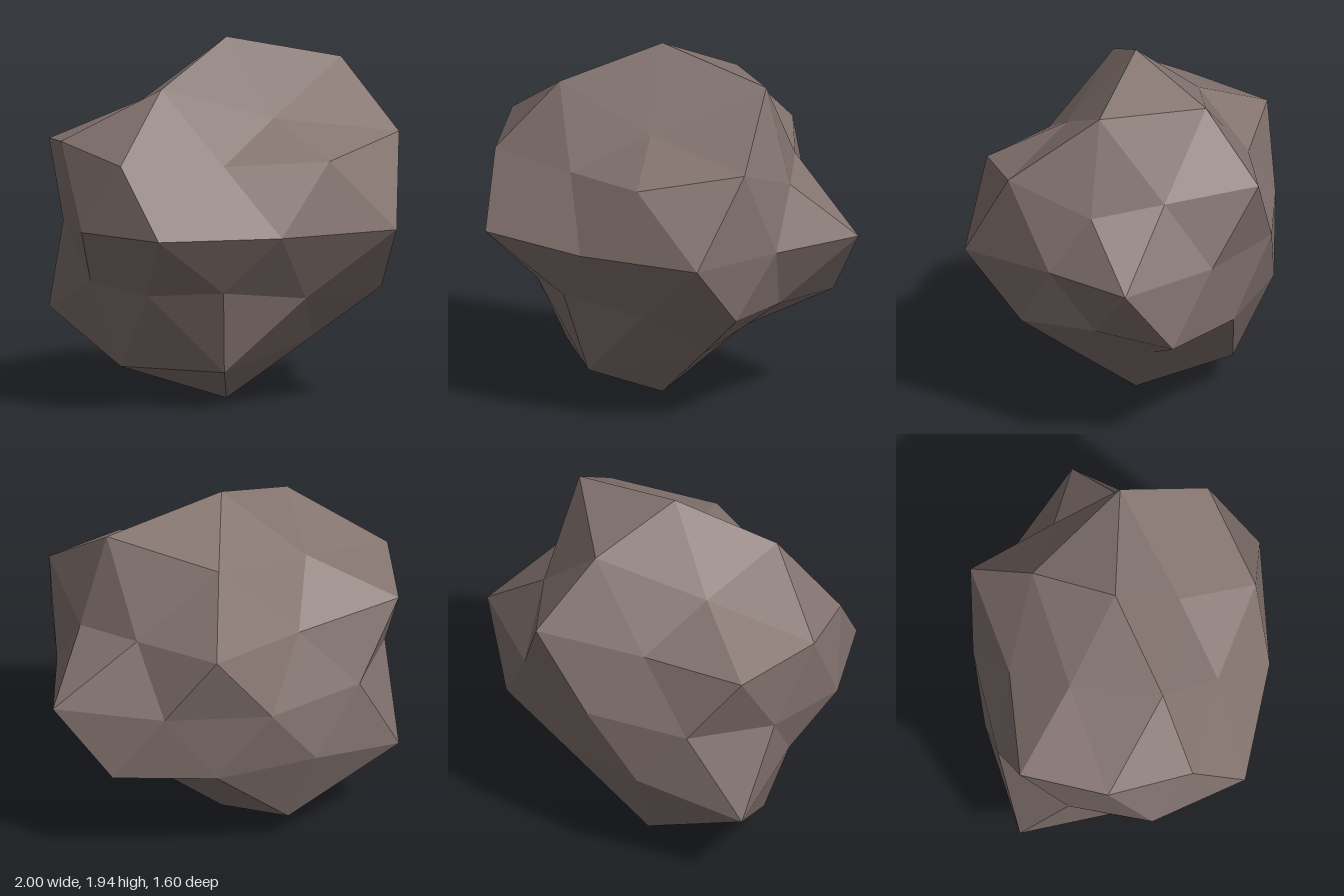
import * as THREE from 'three';
import { ConvexGeometry } from 'three/addons/geometries/ConvexGeometry.js';

// Rings of an icosphere standing on a vertex, top to bottom:
// sine of the latitude, first azimuth in degrees, and the radius of each point round the ring
const RINGS = [
  [1, 0, [0.97]],
  [0.8507, 0, [0.975, 0.67, 0.88, 0.73, 0.895]],
  [0.5257, 36, [0.92, 0.685, 0.872, 0.685, 0.70]],
  [0.4472, 0, [0.705, 0.863, 0.84, 0.90, 0.92]],
  [0, 18, [0.705, 0.915, 0.82, 0.885, 0.757, 0.70, 0.745, 0.755, 0.735, 0.877]],
  [-0.4472, 36, [0.785, 0.70, 0.68, 0.80, 0.857]],
  [-0.5257, 0, [0.677, 0.70, 0.66, 0.947, 0.77]],
  [-0.8507, 36, [0.74, 0.895, 0.903, 0.955, 0.70]],
  [-1, 0, [0.97]],
];
const STRETCH = new THREE.Vector3(1.27, 1, 1);
const CENTRE = new THREE.Vector3(-0.06, 0.97, -0.02);

function rockGeometry() {
  const directions = [];
  const radii = [];
  for (const [y, start, ring] of RINGS) {
    const h = Math.sqrt(1 - y * y);
    ring.forEach((radius, i) => {
      const a = THREE.MathUtils.degToRad(start + (360 * i) / ring.length);
      directions.push(new THREE.Vector3(h * Math.cos(a), y, h * Math.sin(a)));
      radii.push(radius);
    });
  }

  // Triangulate on the unit sphere, then push every corner to its own radius
  const geometry = new ConvexGeometry(directions);
  const position = geometry.attributes.position;
  const p = new THREE.Vector3();
  for (let i = 0; i < position.count; i++) {
    p.fromBufferAttribute(position, i);
    let nearest = 0;
    directions.forEach((d, k) => {
      if (d.distanceToSquared(p) < directions[nearest].distanceToSquared(p)) nearest = k;
    });
    p.multiplyScalar(radii[nearest]).multiply(STRETCH).add(CENTRE);
    position.setXYZ(i, p.x, p.y, p.z);
  }
  geometry.computeVertexNormals(); // unshared corners give flat facets
  return geometry;
}

export function createModel() {
  const stone = new THREE.MeshStandardMaterial({ color: 0x857571, flatShading: true });
  stone.name = 'stone';

  const rock = new THREE.Mesh(rockGeometry(), stone);
  rock.name = 'rock';

  const model = new THREE.Group();
  model.name = 'boulder';
  model.add(rock);
  return model;
}
